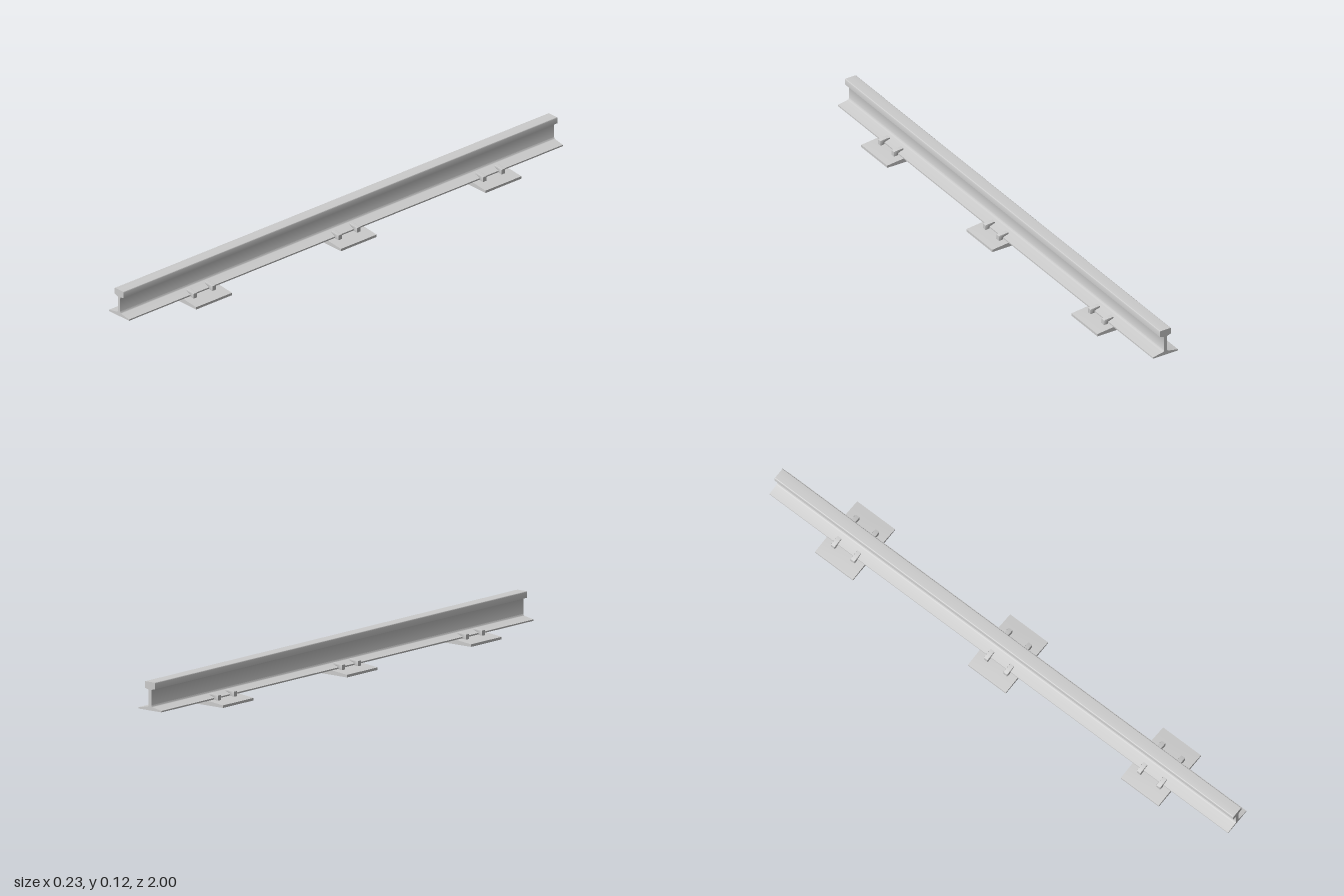
import * as THREE from 'three';
import { toCreasedNormals } from 'three/addons/utils/BufferGeometryUtils.js';

const material = new THREE.MeshStandardMaterial({ color: 0xcccccc });

// Extrude a profile along z, centred on z = 0
function extrudeZ(shape, length, bevel = 0) {
  const geo = new THREE.ExtrudeGeometry(shape, {
    depth: length - 2 * bevel, curveSegments: 5, steps: 1,
    bevelEnabled: bevel > 0, bevelSize: bevel, bevelThickness: bevel, bevelOffset: -bevel, bevelSegments: 2,
  });
  geo.translate(0, 0, -length / 2 + bevel);
  return toCreasedNormals(geo, 0.7);
}

function part(name, geo) {
  const mesh = new THREE.Mesh(geo, material);
  mesh.name = name;
  return mesh;
}

// Half profile of the rail from the foot up; 'curve' entries are [cx, cy, x, y]
function railShape() {
  const path = new THREE.Path();
  path.moveTo(0, 0.018);
  path.lineTo(0.051, 0.018);
  path.lineTo(0.051, 0.023);
  path.lineTo(0.013, 0.030);
  path.quadraticCurveTo(0.006, 0.0315, 0.006, 0.037);
  path.lineTo(0.006, 0.087);
  path.quadraticCurveTo(0.006, 0.0915, 0.011, 0.092);
  path.lineTo(0.0225, 0.095);
  path.lineTo(0.0225, 0.115);
  path.quadraticCurveTo(0.0225, 0.118, 0.0195, 0.118);
  path.lineTo(0, 0.118);
  const half = path.getPoints(5);
  const mirrored = half.slice(1, -1).reverse().map(p => new THREE.Vector2(-p.x, p.y));
  return new THREE.Shape([...half, ...mirrored]);
}

// Bearing plate: sloping shoulders, flat seat under the rail
function plateShape() {
  const pts = [[-0.117, 0.002], [0.117, 0.002], [0.117, 0.011], [0.055, 0.0175],
    [-0.055, 0.0175], [-0.117, 0.011]];
  return new THREE.Shape(pts.map(p => new THREE.Vector2(...p)));
}

// Spike with a hooked head reaching inward over the rail foot
function spikeShape() {
  const pts = [[0.056, 0], [0.066, 0], [0.0695, 0.004], [0.0695, 0.034], [0.064, 0.036],
    [0.031, 0.038], [0.03, 0.031], [0.042, 0.0275], [0.0515, 0.024], [0.0515, 0.004]];
  return new THREE.Shape(pts.map(p => new THREE.Vector2(...p)));
}

export function createModel() {
  const model = new THREE.Group();
  model.name = 'railSection';
  model.add(part('rail', extrudeZ(railShape(), 2)));

  const plateGeo = extrudeZ(plateShape(), 0.165);
  const spikeGeo = extrudeZ(spikeShape(), 0.018, 0.003);

  // Three fastenings, each a plate with four spikes
  for (const z of [-0.667, 0, 0.667]) {
    const fastening = new THREE.Group();
    fastening.name = 'fastening';
    fastening.position.z = z;
    fastening.add(part('bearingPlate', plateGeo));
    for (const turn of [0, Math.PI]) {
      for (const dz of [-0.043, 0.043]) {
        const spike = part('spike', spikeGeo);
        spike.rotation.y = turn;
        spike.position.z = dz;
        fastening.add(spike);
      }
    }
    model.add(fastening);
  }
  return model;
}
